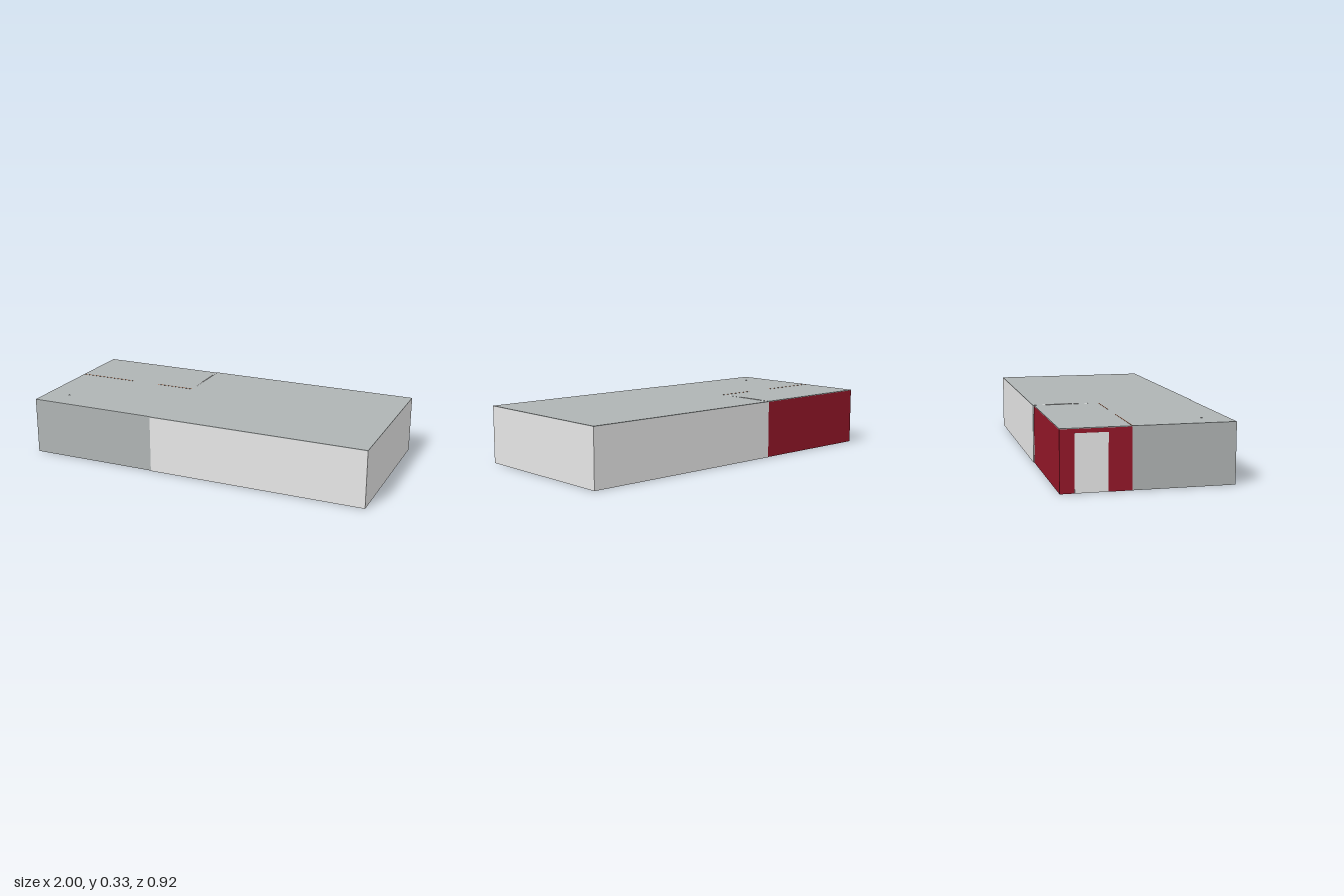
import * as THREE from 'three';

const mat = (name, color) => {
  const m = new THREE.MeshStandardMaterial({ color });
  m.name = name;
  return m;
};

export function createModel() {
  const root = new THREE.Group();
  root.name = 'buildingInterior';
  const light = mat('lightWall', 0xe6e6e6);
  const grey = mat('grey', 0xafb4b4);
  const red = mat('red', 0x931628);
  const brown = mat('brown', 0x9c5c3b);
  const black = mat('black', 0x060606);

  // Box given by its two extreme corners
  const block = (name, m, x0, x1, y0, y1, z0, z1, parent = root) => {
    const mesh = new THREE.Mesh(new THREE.BoxGeometry(x1 - x0, y1 - y0, z1 - z0), m);
    mesh.position.set((x0 + x1) / 2, (y0 + y1) / 2, (z0 + z1) / 2);
    mesh.name = name;
    parent.add(mesh);
    return mesh;
  };

  const T = 0.004, H = 0.325, B = 0.001, C = H - T;
  const split = -0.25, mid = -0.09;
  const back = -0.46, front = 0.455, sideBack = -0.455, sideFront = 0.45;

  // Ceilings
  block('mainCeiling', grey, split, 1, C, H, back, front);
  block('sideCeiling', grey, -1, split, C, H, sideBack, sideFront);

  // Main hall walls
  block('mainFrontWall', light, split, 1, B, C, front - T, front);
  block('mainBackWall', light, split, 1, B, C, back, back + T);
  block('mainEndWall', light, 1 - T, 1, B, C, back + T, front - T);

  // Side room walls
  block('greyFrontWall', grey, -1, split, B, C, sideFront - T, sideFront);
  block('greyEndWall', grey, -1, -1 + T, B, C, mid, sideFront - T);
  block('redBackWall', red, -1, split, B, C, sideBack, sideBack + T);
  block('redEndWall', red, -1, -1 + T, B, C, sideBack + T, mid);
  block('outerDoor', light, -1.001, -1, B, 0.3, -0.38, -0.21);

  // Inner partitions, whose top edges just break through the ceiling
  block('brownPartition', brown, -1 + T, -0.65, B, H + 0.001, mid - 0.002, mid + 0.002);
  block('brownPartition', brown, -0.48, split, B, H + 0.001, mid - 0.002, mid + 0.002);
  block('lightPartition', light, split - 0.002, split + 0.002, B, H + 0.001, sideBack, -0.15);
  block('innerDoor', light, split - 0.002, split + 0.002, B, H + 0.003, -0.39, -0.24);

  // Small ceiling fitting
  const ring = new THREE.Mesh(new THREE.TorusGeometry(0.006, 0.0012, 6, 16), grey);
  ring.name = 'ceilingFitting';
  ring.rotation.x = Math.PI / 2;
  ring.position.set(-0.86, H, 0.31);
  root.add(ring);

  // Floors
  block('mainFloor', light, split, 1, B, B + T, back + T, front - T);
  block('greyFloor', grey, -1 + T, split, B, B + T, mid, sideFront - T);
  block('redFloor', red, -1 + T, split, B, B + T, sideBack + T, mid);

  // Brown streaks under the red floor
  const streaks = new THREE.Group();
  streaks.name = 'floorStreaks';
  root.add(streaks);
  [-0.38, -0.29, -0.2, -0.105].forEach((z, row) => {
    for (let i = 0; i < 4; i++) {
      const x = -0.97 + i * 0.18 + (row % 2) * 0.03;
      block('streak', brown, x, x + 0.14, 0, B, z - 0.012, z + 0.012, streaks);
    }
  });

  // Staggered black patches under the main floor, in diagonal rows
  const patches = new THREE.Group();
  patches.name = 'floorPatches';
  root.add(patches);
  const patch = new THREE.CylinderGeometry(1, 1, B, 10);
  const angle = Math.atan2(0.836, 1);
  const c = Math.cos(angle), s = Math.sin(angle);
  for (let row = -10; row <= 10; row++) {
    for (let col = -8; col <= 8; col++) {
      const u = (col + (row % 2 ? 0.5 : 0)) * 0.155, v = row * 0.103;
      const x = 0.375 + u * c + v * s, z = u * s - v * c;
      if (x < split + 0.045 || x > 0.955 || Math.abs(z) > 0.41) continue;
      const mesh = new THREE.Mesh(patch, black);
      mesh.name = 'patch';
      mesh.scale.set(0.052, 1, 0.044);
      mesh.rotation.y = -angle;
      mesh.position.set(x, B / 2, z);
      patches.add(mesh);
    }
  }
  return root;
}
